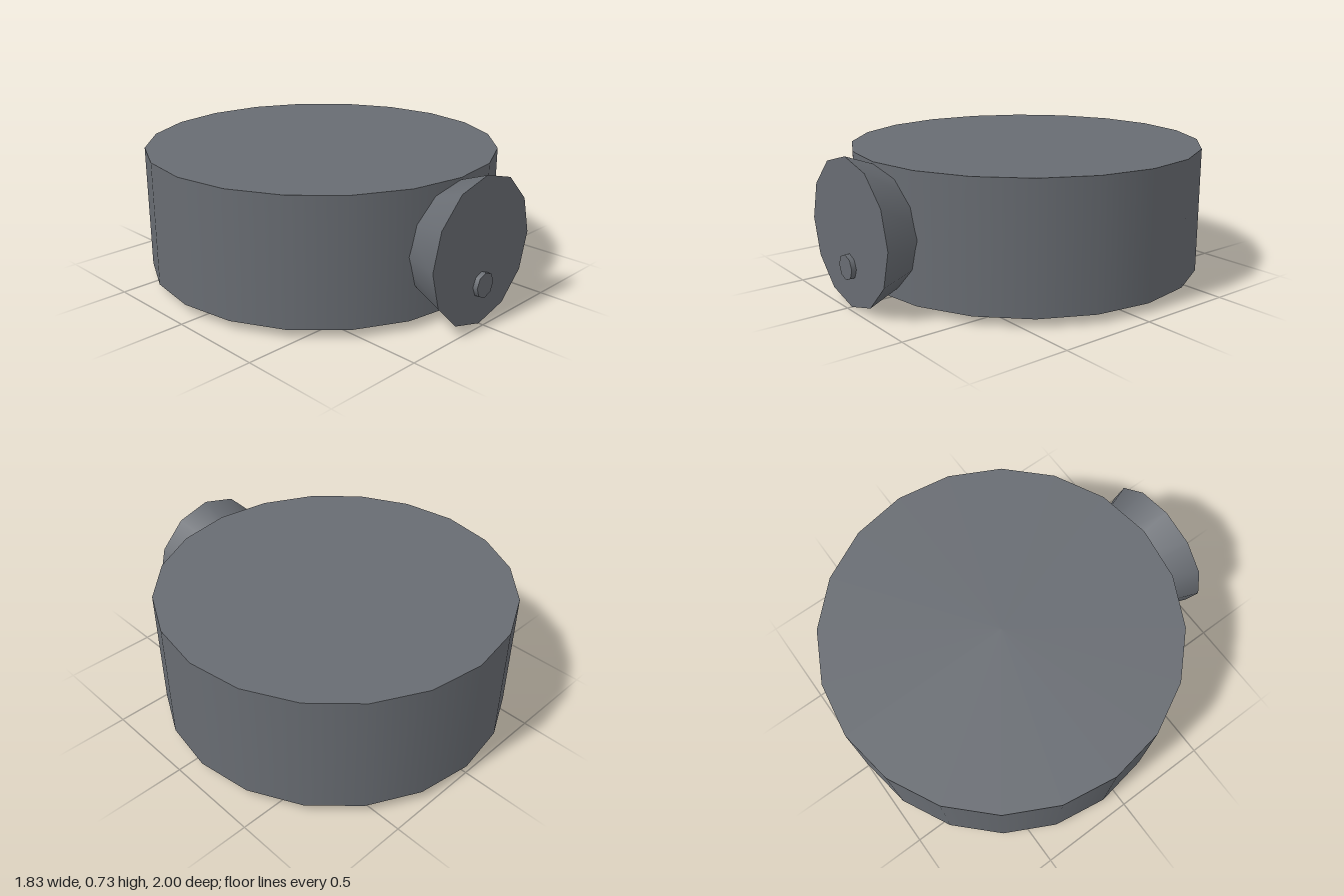
import * as THREE from 'three';

export function createModel() {
  const group = new THREE.Group();
  const slateGrey = new THREE.MeshStandardMaterial({ color: 0x686c72 });
  slateGrey.name = 'slateGrey';

  const add = (name, geometry, x, y, z) => {
    const mesh = new THREE.Mesh(geometry, slateGrey);
    mesh.name = name;
    mesh.position.set(x, y, z);
    group.add(mesh);
  };

  // Round cylinder lying along z, from zBack to zFront
  const forward = (name, rFront, rBack, zBack, zFront, y, sides) => {
    const geometry = new THREE.CylinderGeometry(rFront, rBack, zFront - zBack, sides);
    geometry.rotateX(Math.PI / 2);
    add(name, geometry, 0, y, (zFront + zBack) / 2);
  };

  // Wide drum body
  add('drumBody', new THREE.CylinderGeometry(0.917, 0.917, 0.643, 20), 0, 0.371, -0.083);

  // Flared disc on the front, its narrow end sunk into the drum
  forward('flaredFront', 0.365, 0.25, 0.665, 0.976, 0.37, 12);

  // Small button low on the disc
  forward('button', 0.063, 0.063, 0.95, 1, 0.208, 8);

  return group;
}
